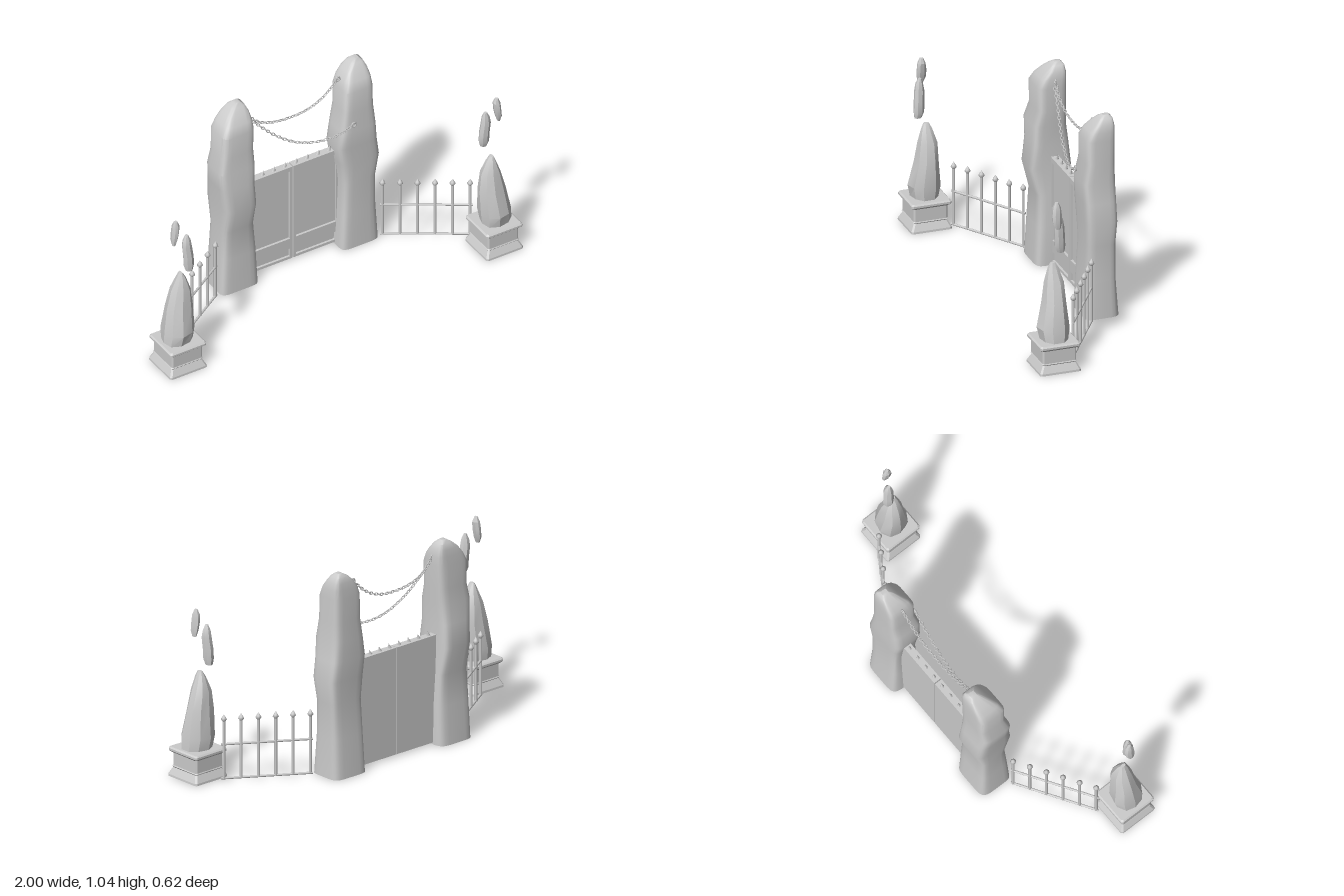
import * as THREE from 'three';
import { toCreasedNormals } from 'three/addons/utils/BufferGeometryUtils.js';

const stone = new THREE.MeshStandardMaterial({ color: 0xcccccc });

function add(parent, name, geometry, x = 0, y = 0, z = 0) {
  const mesh = new THREE.Mesh(geometry, stone);
  mesh.name = name;
  mesh.position.set(x, y, z);
  parent.add(mesh);
  return mesh;
}

// Skin over stacked rings [y, xMin, xMax, zMin, zMax]; a low power gives a squarer section.
function loft(rings, sides, power, crease, wobble = 0) {
  const pos = [], index = [];
  const pow = (v) => Math.sign(v) * Math.abs(v) ** power;
  const mid = ([y, x0, x1, z0, z1]) => [(x0 + x1) / 2, y, (z0 + z1) / 2];
  for (const r of rings) {
    const [cx, y, cz] = mid(r);
    for (let i = 0; i < sides; i++) {
      const a = ((i + 0.5) / sides) * Math.PI * 2;
      const k = 1 + wobble * Math.sin(3 * a + 9 * y);
      pos.push(cx + (pow(Math.cos(a)) * k * (r[2] - r[1])) / 2, y, cz + (pow(Math.sin(a)) * k * (r[4] - r[3])) / 2);
    }
  }
  const n = rings.length, bottom = n * sides, top = bottom + 1;
  pos.push(...mid(rings[0]), ...mid(rings[n - 1]));
  for (let i = 0; i < sides; i++) {
    const j = (i + 1) % sides;
    for (let k = 0; k < n - 1; k++) {
      const l = k * sides, u = l + sides;
      index.push(l + i, u + i, l + j, u + i, u + j, l + j);
    }
    index.push(bottom, i, j, top, (n - 1) * sides + j, (n - 1) * sides + i);
  }
  const g = new THREE.BufferGeometry();
  g.setAttribute('position', new THREE.Float32BufferAttribute(pos, 3));
  g.setIndex(index);
  return toCreasedNormals(g, crease);
}

// Chain of alternating oval links along a smooth path
function chain(parent, name, points, count) {
  const group = new THREE.Group();
  group.name = name;
  const curve = new THREE.CatmullRomCurve3(points.map((p) => new THREE.Vector3(...p)));
  const link = new THREE.TorusGeometry(0.0065, 0.0022, 5, 10).scale(1.7, 1, 1);
  for (let i = 0; i < count; i++) {
    const t = (i + 0.5) / count;
    const m = add(group, 'chainLink', link, ...curve.getPointAt(t).toArray());
    m.quaternion.setFromUnitVectors(new THREE.Vector3(1, 0, 0), curve.getTangentAt(t));
    m.rotateX(i % 2 ? Math.PI / 2 : 0);
  }
  for (const p of [points[0], points[points.length - 1]])
    add(group, 'chainAnchor', new THREE.TorusGeometry(0.012, 0.004, 6, 10), ...p);
  parent.add(group);
}

// Straight bar between two points
function bar(parent, name, a, b, radius) {
  const from = new THREE.Vector3(...a), to = new THREE.Vector3(...b);
  const dir = to.clone().sub(from);
  const m = add(parent, name, new THREE.CylinderGeometry(radius, radius, dir.length(), 8),
    ...from.add(to).multiplyScalar(0.5).toArray());
  m.quaternion.setFromUnitVectors(new THREE.Vector3(0, 1, 0), dir.normalize());
}

function fence(parent, x0, x1) {
  const group = new THREE.Group();
  group.name = 'fence';
  const z0 = 0.085, z1 = -0.14;
  for (let i = 0; i < 6; i++) {
    const x = THREE.MathUtils.lerp(x0, x1, i / 5), z = THREE.MathUtils.lerp(z0, z1, i / 5);
    add(group, 'picket', new THREE.CylinderGeometry(0.0075, 0.0075, 0.3, 8), x, 0.155, z);
    add(group, 'picketTip', new THREE.LatheGeometry(
      [[0.007, 0.3], [0.015, 0.31], [0.011, 0.319], [0, 0.337]].map((p) => new THREE.Vector2(...p)), 8), x, 0, z);
  }
  const ex = (x1 - x0) * 0.03, ez = (z1 - z0) * 0.03;
  for (const y of [0.007, 0.182])
    bar(group, 'fenceRail', [x0 - ex, y, z0 - ez], [x1 + ex, y, z1 + ez], 0.006);
  parent.add(group);
}

// Plinth with standing rock and two floating shards; s is the side
function post(parent, s) {
  const group = new THREE.Group();
  group.name = s > 0 ? 'leftPost' : 'rightPost';
  const place = (rings, flipZ) => rings.map(([y, a, b, c, d]) =>
    [y, ...(s > 0 ? [a, b] : [-b, -a]), ...(flipZ && s < 0 ? [0.415 - d, 0.415 - c] : [c, d])]);
  const profile = [[0, 0.105], [0.01, 0.104], [0.045, 0.086], [0.05, 0.09], [0.055, 0.087],
    [0.12, 0.087], [0.128, 0.098], [0.133, 0.103], [0.143, 0.103], [0.15, 0.096]];
  add(group, 'plinth', loft(place(profile.map(([y, r]) =>
    [y, 0.895 - r, 0.895 + r, 0.207 - r, 0.207 + r])), 8, 0.1, 0.3));
  add(group, 'standingRock', loft(place([
    [0.145, 0.825, 0.978, 0.14, 0.275], [0.21, 0.817, 0.975, 0.128, 0.288],
    [0.34, 0.815, 0.955, 0.146, 0.26], [0.44, 0.828, 0.928, 0.154, 0.248],
    [0.51, 0.855, 0.9, 0.178, 0.232], [0.538, 0.872, 0.888, 0.192, 0.22],
  ]), 9, 0.9, 0.35, 0.04));
  add(group, 'lowerShard', loft(place([
    [0.58, 0.845, 0.88, 0.142, 0.178], [0.61, 0.836, 0.888, 0.138, 0.19],
    [0.66, 0.838, 0.889, 0.14, 0.192], [0.72, 0.845, 0.894, 0.146, 0.194],
    [0.755, 0.85, 0.889, 0.152, 0.188], [0.782, 0.86, 0.875, 0.165, 0.18],
  ], true), 7, 0.95, 0.35, 0.04));
  add(group, 'upperShard', loft(place([
    [0.73, 0.918, 0.934, 0.184, 0.208], [0.76, 0.908, 0.938, 0.176, 0.222],
    [0.8, 0.9, 0.934, 0.174, 0.224], [0.84, 0.896, 0.932, 0.178, 0.218],
    [0.866, 0.906, 0.922, 0.19, 0.206],
  ], true), 7, 0.95, 0.35, 0.04));
  parent.add(group);
}

// Gate leaf: flat back, raised frame in front
function gateLeaf(parent, x0, x1) {
  const group = new THREE.Group();
  group.name = 'gateLeaf';
  const box = (name, a, b, y0, y1, z0, z1) =>
    add(group, name, new THREE.BoxGeometry(b - a, y1 - y0, z1 - z0), (a + b) / 2, (y0 + y1) / 2, (z0 + z1) / 2);
  box('gatePanel', x0, x1, 0.01, 0.56, -0.24, -0.212);
  for (const x of [x0, x1 - 0.014]) box('gateStile', x, x + 0.014, 0.01, 0.56, -0.212, -0.2);
  for (const [y0, y1] of [[0.01, 0.024], [0.07, 0.13], [0.535, 0.56]])
    box('gateRail', x0 + 0.014, x1 - 0.014, y0, y1, -0.212, -0.2);
  parent.add(group);
}

export function createModel() {
  const model = new THREE.Group();
  model.name = 'gateway';

  // Rough stone pillars with tops sloping to one side and to the front
  add(model, 'rightPillar', loft([
    [0, -0.437, -0.225, -0.3, -0.12], [0.2, -0.427, -0.23, -0.29, -0.13],
    [0.36, -0.418, -0.24, -0.285, -0.137], [0.5, -0.422, -0.244, -0.313, -0.1],
    [0.62, -0.43, -0.246, -0.3, -0.118], [0.72, -0.44, -0.243, -0.288, -0.12],
    [0.8, -0.417, -0.24, -0.288, -0.14], [0.92, -0.415, -0.236, -0.287, -0.138],
    [0.965, -0.39, -0.236, -0.285, -0.158], [1.0, -0.36, -0.24, -0.282, -0.185],
    [1.03, -0.325, -0.252, -0.275, -0.21], [1.045, -0.3, -0.272, -0.26, -0.228],
  ], 24, 0.36, 0.6, 0.015));
  add(model, 'leftPillar', loft([
    [0, 0.245, 0.456, -0.3, -0.122], [0.2, 0.255, 0.448, -0.288, -0.13],
    [0.38, 0.264, 0.452, -0.283, -0.137], [0.5, 0.252, 0.468, -0.288, -0.13],
    [0.6, 0.236, 0.453, -0.288, -0.128], [0.7, 0.25, 0.442, -0.286, -0.122],
    [0.8, 0.27, 0.438, -0.285, -0.14], [0.92, 0.275, 0.436, -0.287, -0.14],
    [0.965, 0.292, 0.435, -0.285, -0.16], [1.0, 0.318, 0.43, -0.282, -0.187],
    [1.03, 0.35, 0.418, -0.275, -0.21], [1.045, 0.375, 0.4, -0.26, -0.228],
  ], 24, 0.36, 0.6, 0.015));

  // Double gate with small leaning spikes
  gateLeaf(model, -0.25, 0.006);
  gateLeaf(model, 0.011, 0.268);
  for (let i = 0; i < 8; i++) {
    const spike = add(model, 'gateSpike', new THREE.ConeGeometry(0.011, 0.032, 6), -0.21 + i * 0.0625, 0.57, -0.22);
    spike.rotation.z = -0.3;
  }

  // Hanging chains
  chain(model, 'upperChain', [[-0.24, 0.955, -0.22], [-0.17, 0.887, -0.22], [-0.09, 0.855, -0.22], [0, 0.845, -0.22],
    [0.1, 0.853, -0.22], [0.19, 0.892, -0.22], [0.275, 0.967, -0.22]], 33);
  chain(model, 'lowerChain', [[-0.24, 0.945, -0.215], [-0.17, 0.868, -0.205], [-0.09, 0.79, -0.19], [0, 0.73, -0.172],
    [0.08, 0.703, -0.158], [0.16, 0.698, -0.143], [0.24, 0.712, -0.13], [0.305, 0.743, -0.122]], 35);

  for (const s of [1, -1]) post(model, s);
  fence(model, -0.825, -0.468);
  fence(model, 0.835, 0.478);
  return model;
}
